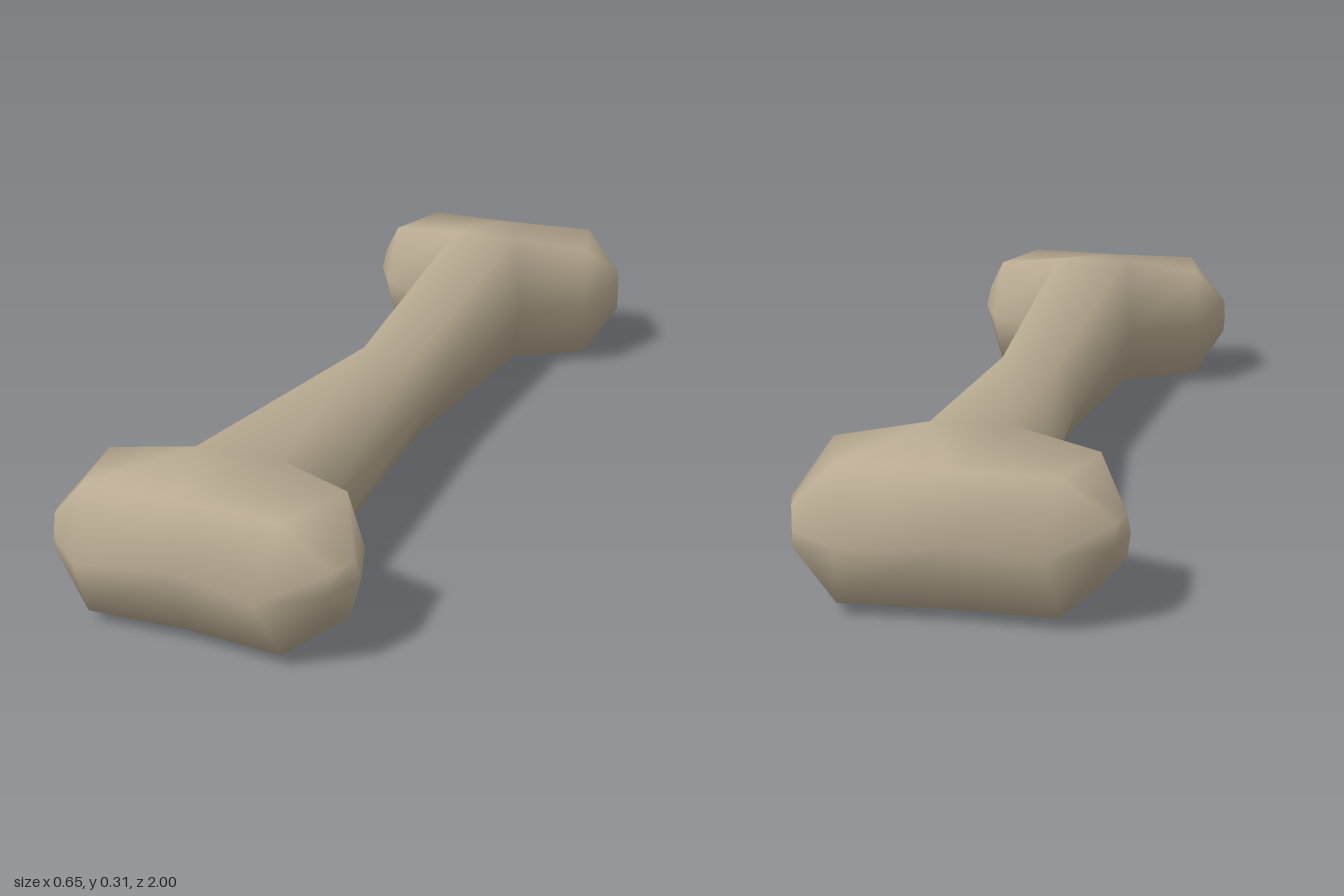
import * as THREE from 'three';

const MID_Y = 0.155;

export function createModel() {
  const boneMaterial = new THREE.MeshStandardMaterial({ color: 0xb9ab92 });
  boneMaterial.name = 'aged bone';

  const positions = [];
  const index = [];
  const point = (x, y, z) => positions.push(x, y, z) / 3 - 1;
  const quad = (a, b, c, d) => index.push(a, b, c, a, c, d);

  // Six-sided ring across a knob, running outer, top, inner, bottom
  function knobRing([ox, oz], [ix, iz], half, t0, t1) {
    const at = (t, y) => point(ox + (ix - ox) * t, MID_Y + y, oz + (iz - oz) * t);
    return [at(0, 0), at(t0, half), at(t1, half), at(1, 0), at(t1, -half), at(t0, -half)];
  }

  // Joins two rings of equal length
  function bridge(a, b) {
    a.forEach((_, k) => {
      const n = (k + 1) % a.length;
      quad(a[k], b[k], b[n], a[n]);
    });
  }

  // Double-knobbed end; returns the open neck loop that the shaft joins
  function boneEnd({ knobs, notch, ridge, neckTop, neckSide, topZ }) {
    const m = point(notch[0], MID_Y, notch[1]);
    const t = point(notch[0], MID_Y + 0.13, ridge);
    const b = point(notch[0], MID_Y - 0.13, ridge);
    const necks = [0, 1].map((i) => [
      point(neckTop[i], MID_Y + 0.155, topZ),
      point(neckSide[i][0], MID_Y, neckSide[i][1]),
      point(neckTop[i], MID_Y - 0.155, topZ),
    ]);
    knobs.forEach(({ outer, inner, capOuter, capInner }, i) => {
      const cap = knobRing(capOuter, capInner, 0.04, 0.2, 0.8);
      const bulge = knobRing(outer, inner, 0.13, 0.24, 0.84);
      const centre = [m, t, ...necks[i], b];
      const rings = [cap, bulge, centre];
      if (i === 1) rings.reverse();
      bridge(rings[0], rings[1]);
      bridge(rings[1], rings[2]);
      for (let k = 1; k < 5; k++) {
        if (i === 0) index.push(cap[0], cap[k], cap[k + 1]);
        else index.push(cap[0], cap[k + 1], cap[k]);
      }
    });
    const [f, s] = necks;
    index.push(t, s[0], f[0], b, f[2], s[2]);
    return [f[0], s[0], s[1], s[2], f[2], f[1]];
  }

  const front = boneEnd({
    knobs: [
      { outer: [-0.22, 0.965], inner: [-0.27, 0.685], capOuter: [-0.31, 0.875], capInner: [-0.33, 0.80] },
      { outer: [0.15, 0.995], inner: [0.25, 0.71], capOuter: [0.26, 0.92], capInner: [0.29, 0.83] },
    ],
    notch: [-0.03, 0.935], ridge: 0.9, topZ: 0.72,
    neckTop: [-0.085, 0.085], neckSide: [[-0.12, 0.61], [0.12, 0.605]],
  });

  const back = boneEnd({
    knobs: [
      { outer: [0.20, -1], inner: [0.275, -0.71], capOuter: [0.30, -0.92], capInner: [0.325, -0.83] },
      { outer: [-0.17, -1], inner: [-0.25, -0.73], capOuter: [-0.28, -0.92], capInner: [-0.30, -0.83] },
    ],
    notch: [0.01, -0.96], ridge: -0.925, topZ: -0.72,
    neckTop: [0.09, -0.065], neckSide: [[0.14, -0.62], [-0.10, -0.64]],
  });

  // Shaft, pinched at the waist
  const waist = [
    [-0.04, 0.25], [0.085, 0.25], [0.12, MID_Y], [0.085, 0.06], [-0.04, 0.06], [-0.08, MID_Y],
  ].map(([x, y]) => point(x, y, -0.03));
  const backLoop = [1, 0, 5, 4, 3, 2].map((k) => back[k]);
  bridge(waist, front);
  bridge(backLoop, waist);

  const geometry = new THREE.BufferGeometry();
  geometry.setAttribute('position', new THREE.Float32BufferAttribute(positions, 3));
  geometry.setIndex(index);
  geometry.computeVertexNormals();

  const bone = new THREE.Mesh(geometry, boneMaterial);
  bone.name = 'bone';
  const group = new THREE.Group();
  group.name = 'boneModel';
  group.add(bone);
  return group;
}
